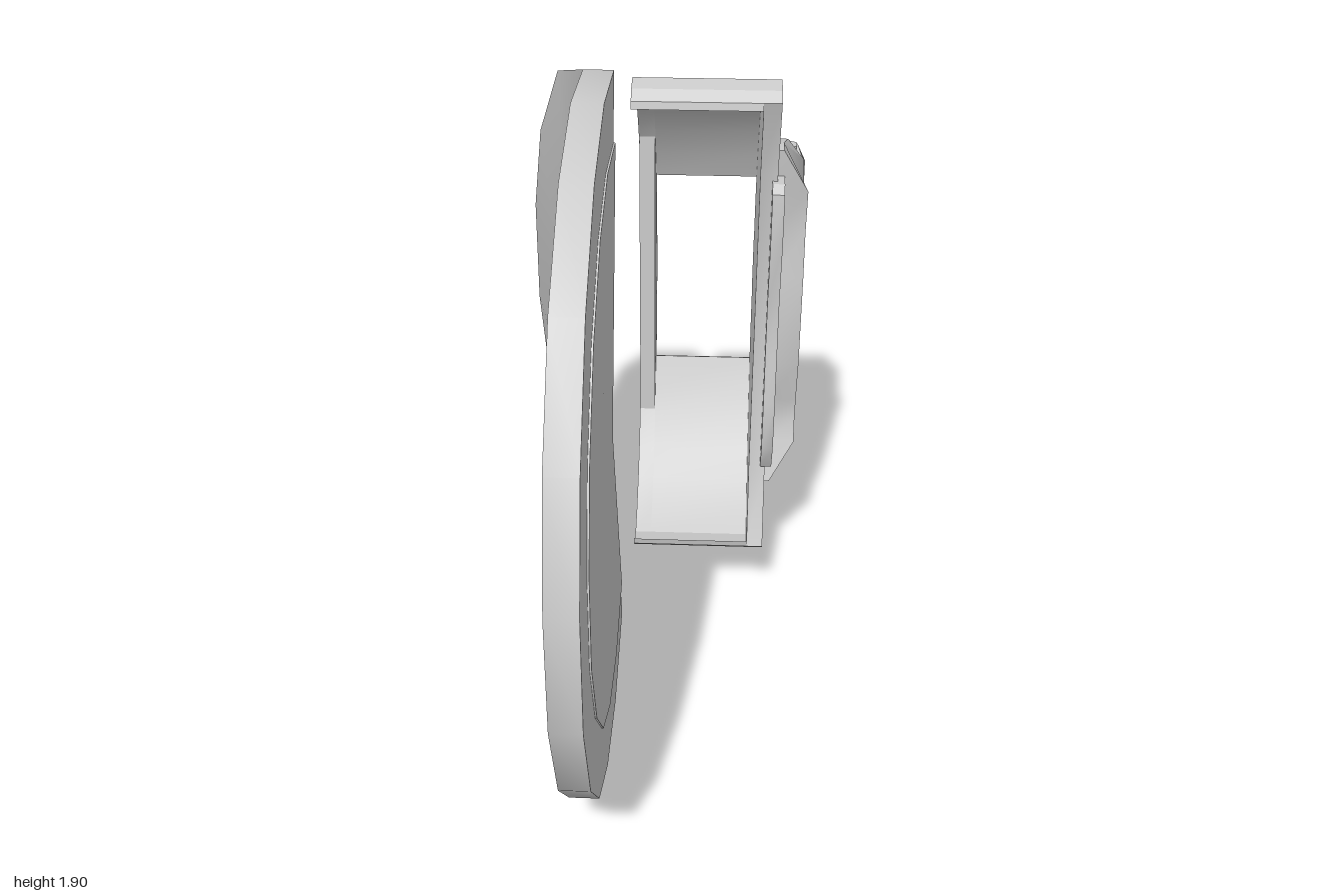
import * as THREE from 'three';
import { toCreasedNormals } from 'three/addons/utils/BufferGeometryUtils.js';

const material = new THREE.MeshStandardMaterial({ color: 0xcccccc, side: THREE.DoubleSide });
const MID = 0.967; // height of the caliper's mirror line

function addMesh(parent, name, geometry, crease = 0.5) {
  const mesh = new THREE.Mesh(toCreasedNormals(geometry, crease), material);
  mesh.name = name;
  parent.add(mesh);
  return mesh;
}

// Extrude a side profile of [-z, y] points from x0 to x1
function sideSlab(points, x0, x1) {
  const shape = new THREE.Shape(points.map(([a, b]) => new THREE.Vector2(a, b)));
  const g = new THREE.ExtrudeGeometry(shape, { depth: x1 - x0, bevelEnabled: false });
  return g.rotateY(Math.PI / 2).translate(x0, 0, 0);
}

const flip = pts => pts.map(([a, b]) => [a, 2 * MID - b]).reverse();

// Curved band: the outer line plus the same line moved inward
function band(outer, t = 0.022) {
  const inner = outer.map(([a, b]) => {
    const d = new THREE.Vector2(0.3 - a, MID - b).setLength(t);
    return [a + d.x, b + d.y];
  });
  return [...outer, ...inner.reverse()];
}

function triangles(list) {
  const g = new THREE.BufferGeometry();
  g.setAttribute('position', new THREE.Float32BufferAttribute(list.flatMap(p => p.toArray()), 3));
  return g;
}

// Faceted disc whose rim is bent away beside the caliper
function buildDisc(parent) {
  const thick = 0.08, step = 0.005;
  const rim = [ // z, y, bend
    [0.08, 1.905, 0], [-0.26, 1.865, 0], [-0.68, 1.71, 0.11], [-0.88, 1.45, 0.19],
    [-1, 1.15, 0.23], [-1, 0.82, 0.23], [-0.9, 0.53, 0.19], [-0.61, 0.25, 0.07],
    [-0.29, 0.07, 0], [0.04, 0, 0], [0.37, 0.055, 0], [0.65, 0.21, 0], [0.87, 0.46, 0],
    [1, 0.77, 0], [1, 1.1, 0], [0.9, 1.4, 0], [0.69, 1.665, 0], [0.4, 1.84, 0],
  ];
  const moved = (p, dx) => p.clone().setX(p.x + dx);
  const back = rim.map(([z, y, bend]) => new THREE.Vector3(-0.19 - bend, y, z));
  const backMid = new THREE.Vector3(-0.19, 0.955, 0.05);
  const front = back.map(p => moved(p, thick)), frontMid = moved(backMid, thick);
  const inner = front.map(p => frontMid.clone().lerp(p, 0.81));
  const raised = inner.map(p => moved(p, step)), raisedMid = moved(frontMid, step);
  const body = [], face = [];
  front.forEach((f, i) => {
    const j = (i + 1) % front.length;
    body.push(f, inner[i], inner[j], f, inner[j], front[j]);            // front ring
    body.push(f, front[j], back[j], f, back[j], back[i]);               // edge
    body.push(backMid, back[i], back[j]);                               // back
    face.push(raisedMid, raised[j], raised[i]);                         // inner face
    face.push(raised[i], raised[j], inner[j], raised[i], inner[j], inner[i]);
  });
  addMesh(parent, 'discBody', triangles(body));
  addMesh(parent, 'discInnerFace', triangles(face));
}

function buildCaliper(parent) {
  const upper = [[0.45, 1.71], [0.48, 1.735], [0.54, 1.745], [0.62, 1.71], [0.72, 1.64],
    [0.79, 1.57], [0.85, 1.49], [0.91, 1.39], [0.95, 1.3]];
  const bump = [[0.97, 1.2], [0.975, 1.08], [0.998, 1.03]];
  const outer = [...upper, ...bump, ...flip(bump), ...flip(upper)];

  // Housing: curved band with a window
  addMesh(parent, 'housingInnerStrip', sideSlab(band(outer), -0.08, -0.03));
  addMesh(parent, 'housingUpper', sideSlab(band(upper), -0.03, 0.28));
  addMesh(parent, 'housingLower', sideSlab(band(flip(upper)), -0.03, 0.28));

  // Shallow straight-edged wall on the disc side, full wall on the outer side
  addMesh(parent, 'housingInnerWall', sideSlab(outer.filter(([a]) => a > 0.84), -0.079, -0.031));
  addMesh(parent, 'housingOuterWall', sideSlab([...outer, [0.54, 0.46], [0.53, 1.47]], 0.28, 0.33));

  // Stepped plate behind the cover
  addMesh(parent, 'backingPlate', sideSlab([[0.51, 1.45], [0.6, 1.45], [0.77, 1.43], [0.81, 1.25],
    [0.81, 0.7], [0.77, 0.52], [0.6, 0.48], [0.53, 0.48], [0.48, 0.58], [0.48, 0.74],
    [0.5, 0.9], [0.51, 1.07], [0.47, 1.28], [0.48, 1.43]], 0.315, 0.35));

  // Cover with toothed rear edge, its face falling away toward both ends
  const half = [[0.56, 1.53], [0.62, 1.53], [0.71, 1.505], [0.765, 1.42], [0.775, 1.435],
    [0.81, 1.45], [0.825, 1.39], [0.866, 1.353], [0.82, 1.315], [0.825, 1.246],
    [0.88, 1.225], [0.9, 1.16], [0.866, 1.155], [0.87, 1.08]];
  const frontEdge = [[0.6, 0.53], [0.62, 0.6], [0.61, 0.68], [0.575, 0.83], [0.58, 1.12],
    [0.6, 1.26], [0.575, 1.4]];
  const cover = sideSlab([...half, ...flip(half), ...frontEdge], 0.33, 0.42);
  const p = cover.attributes.position;
  for (let i = 0; i < p.count; i++) {
    const over = Math.abs(p.getY(i) - MID) - 0.44;
    if (p.getX(i) > 0.4 && over > 0) p.setX(i, 0.42 - over * 0.6);
  }
  addMesh(parent, 'cover', cover);

  // Small upright bolts on the end lugs
  for (const s of [1, -1]) {
    const pin = addMesh(parent, 'lugBolt', new THREE.CylinderGeometry(0.03, 0.03, 0.05, 6));
    pin.position.set(0.365, MID + s * 0.46, -0.8);
  }

  // Hexagonal side bolt
  const bolt = addMesh(parent, 'sideBolt', new THREE.CylinderGeometry(0.04, 0.04, 0.06, 6));
  bolt.rotation.z = Math.PI / 2;
  bolt.position.set(0.35, 0.98, -0.94);
}

export function createModel() {
  const model = new THREE.Group();
  model.name = 'discBrake';
  for (const [name, build] of [['disc', buildDisc], ['caliper', buildCaliper]]) {
    const part = new THREE.Group();
    part.name = name;
    build(part);
    model.add(part);
  }
  return model;
}
